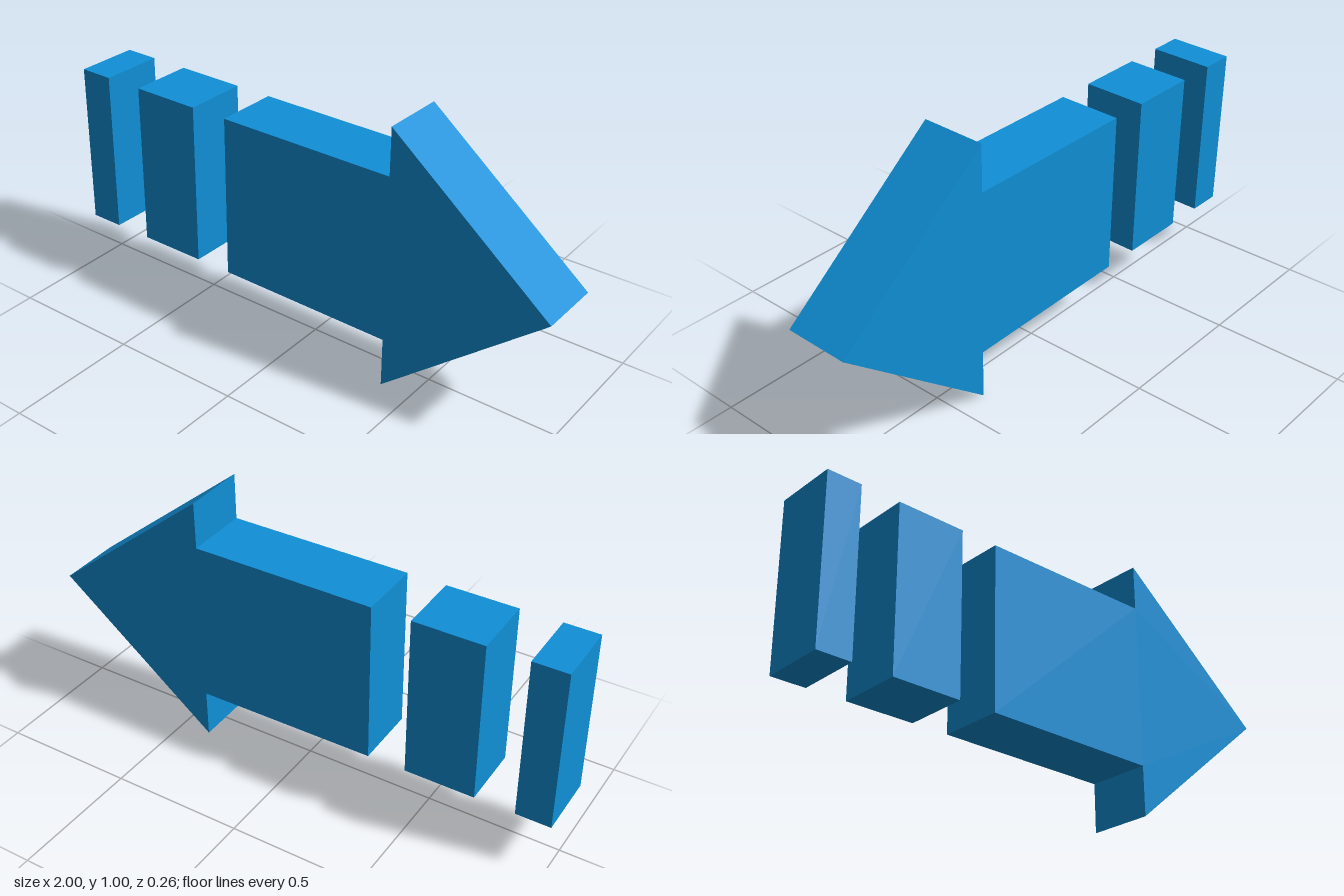
import * as THREE from 'three';

const DEPTH = 0.243;
const TOP = 0.319, BOTTOM = -0.306; // shaft edges, measured from mid height

export function createModel() {
  const model = new THREE.Group();
  model.name = 'dashedArrow';
  const material = new THREE.MeshStandardMaterial({ color: 0x1090d8, flatShading: true });

  // Every part is a flat outline extruded to the same thickness
  const addSlab = (name, points) => {
    const shape = new THREE.Shape(points.map(([x, y]) => new THREE.Vector2(x, y)));
    const geometry = new THREE.ExtrudeGeometry(shape, { depth: DEPTH, bevelEnabled: false });
    geometry.translate(0, 0, -DEPTH / 2);
    const mesh = new THREE.Mesh(geometry, material);
    mesh.name = name;
    model.add(mesh);
  };

  // Two separate dashes forming the tail
  const dashes = [['tailDash', -1, -0.87], ['middleDash', -0.72, -0.455]];
  for (const [name, x0, x1] of dashes) {
    addSlab(name, [[x0, BOTTOM], [x1, BOTTOM], [x1, TOP], [x0, TOP]]);
  }

  // Shaft and pointed head in one piece
  addSlab('arrowHead', [
    [-0.31, BOTTOM], [0.385, BOTTOM - 0.004], [0.385, -0.498], [1, 0.005],
    [0.385, 0.498], [0.385, TOP + 0.002], [-0.31, TOP],
  ]);

  // Slight backward lean of the whole arrow
  model.rotation.x = -0.0175;
  model.position.y = 0.5;
  return model;
}
